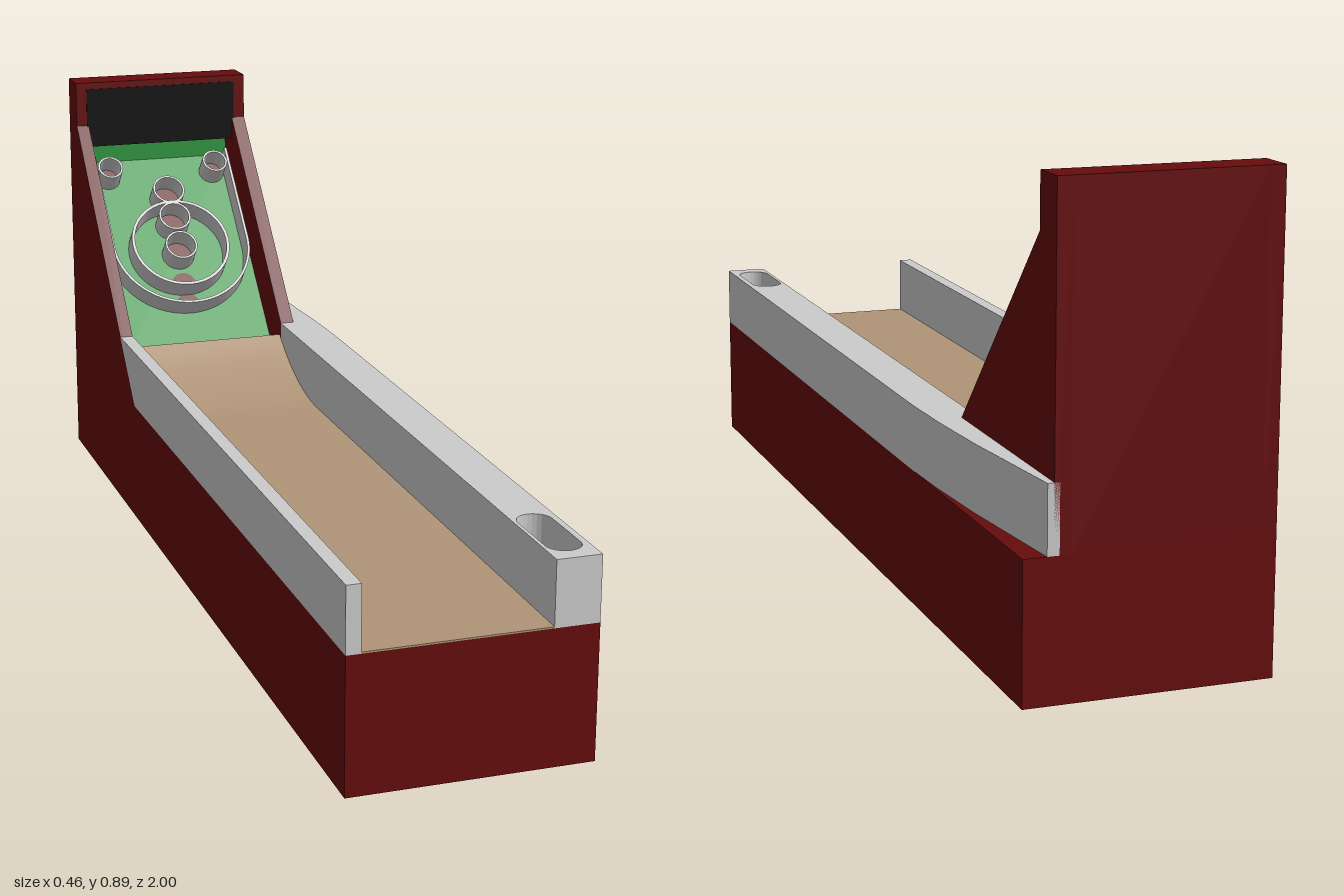
import * as THREE from 'three';
import { toCreasedNormals } from 'three/addons/utils/BufferGeometryUtils.js';

const paint = (name, color) => {
  const m = new THREE.MeshStandardMaterial({ color });
  m.name = name;
  return m;
};

export function createModel() {
  const red = paint('dark red', 0x660c0c);
  const white = paint('pale grey', 0xcccccc);
  const tan = paint('wood tan', 0xb09578);
  const green = paint('board green', 0x2f9641);
  const black = paint('black', 0x0d0d0d);

  const model = new THREE.Group();
  model.name = 'alleyBowler';

  const add = (parent, name, geometry, material) => {
    const mesh = new THREE.Mesh(geometry, material);
    mesh.name = name;
    parent.add(mesh);
    return mesh;
  };
  // Box given by its minimum and maximum corners
  const box = (name, [x0, y0, z0], [x1, y1, z1], material) =>
    add(model, name, new THREE.BoxGeometry(x1 - x0, y1 - y0, z1 - z0), material)
      .position.set((x0 + x1) / 2, (y0 + y1) / 2, (z0 + z1) / 2);
  const extrude = (shape, depth, curveSegments = 24) =>
    new THREE.ExtrudeGeometry(shape, { depth, bevelEnabled: false, curveSegments });
  // Side profile of [z, y] points, extruded from x0 to x1
  const sideProfile = (points, x0, x1) =>
    extrude(new THREE.Shape(points.map(([z, y]) => new THREE.Vector2(-z, y))), x1 - x0)
      .rotateY(Math.PI / 2).translate(x0, 0, 0);

  const floorY = 0.26, railY = 0.385;
  const xLeft = -0.23, xInLeft = -0.202, xInRight = 0.145, xRight = 0.175;

  // Base cabinet
  box('base', [-0.23, 0, -1], [0.23, floorY, 1], red);

  // Lane with a curved jump at the far end
  const lane = [[1, floorY], [1, floorY + 0.003]];
  const radius = 0.468, sweep = Math.asin(0.28 / radius);
  for (let i = 0; i <= 12; i++) {
    const a = sweep * i / 12;
    lane.push([-0.27 - radius * Math.sin(a), floorY + 0.003 + radius * (1 - Math.cos(a))]);
  }
  lane.push([-0.55, floorY]);
  add(model, 'lane', toCreasedNormals(sideProfile(lane, xInLeft, xInRight), 0.5), tan);

  // Narrow rail, cut along the slope of the target cabinet
  add(model, 'narrowRail',
    sideProfile([[1, floorY], [1, railY], [-0.54, railY], [-0.42, floorY]], xLeft, xInLeft), white);

  // Wide ball-return rail with a pill-shaped slot
  const railPlan = [[0.145, 1], [0.23, 1], [0.23, -0.42], [0.226, -0.55], [0.215, -0.72],
    [0.187, -1], [0.165, -1], [0.165, -0.54], [0.145, -0.54]];
  const railShape = new THREE.Shape(railPlan.map(([x, z]) => new THREE.Vector2(x, -z)));
  const slot = new THREE.Path();
  slot.absarc(0.185, -0.815, 0.033, 0, Math.PI, false);
  slot.absarc(0.185, -0.935, 0.033, Math.PI, Math.PI * 2, false);
  railShape.holes.push(slot);
  add(model, 'ballReturnRail',
    extrude(railShape, railY - floorY, 6).rotateX(-Math.PI / 2).translate(0, floorY, 0), white);

  // Target cabinet: two sloped sides, back and top
  const upper = [[-0.925, 0.79], [-0.925, 0.89], [-1, 0.89], [-1, floorY]];
  add(model, 'cabinetSideRight', sideProfile([[-0.42, floorY], ...upper], xLeft, xInLeft), red);
  add(model, 'cabinetSideLeft',
    sideProfile([[-0.54, floorY], [-0.54, railY], ...upper], xInRight, xRight), red);
  box('cabinetBack', [xInLeft, floorY, -1], [xInRight, 0.89, -0.987], red);
  box('cabinetTop', [xInLeft, 0.875, -0.987], [xInRight, 0.89, -0.925], red);
  box('scorePanel', [-0.206, 0.74, -0.931], [0.149, 0.875, -0.923], black);
  box('boardBackstrip', [xInLeft, 0.68, -0.987], [xInRight, 0.8, -0.982], green);

  // Target board, tilted 45 degrees; local origin is the centre of the big ring
  const board = new THREE.Group();
  board.name = 'targetBoard';
  const centreX = -0.028, centreY = 0.502;
  board.position.set(centreX, centreY, -0.795);
  board.rotation.x = -Math.PI / 4;
  model.add(board);
  const up = y => (y - centreY) * Math.SQRT2;
  const wallHeight = 0.05;

  add(board, 'boardSurface', new THREE.BoxGeometry(xInRight - xInLeft, 0.531, 0.006), green)
    .position.set((xInLeft + xInRight) / 2 - centreX, 0.0035, -0.003);

  const ring = (name, x, y, r, thickness) => {
    const shape = new THREE.Shape().absarc(0, 0, r, 0, Math.PI * 2, false);
    shape.holes.push(new THREE.Path().absarc(0, 0, r - thickness, 0, Math.PI * 2, true));
    add(board, name, toCreasedNormals(extrude(shape, wallHeight, 20), 0.6), white)
      .position.set(x, y, 0);
  };
  const hole = (name, x, y, r) =>
    add(board, name, new THREE.CircleGeometry(r, 24), red).position.set(x, y, 0.001);

  ring('bigRing', 0, 0, 0.115, 0.007);

  // Scoring cups: x, height on the board, radius
  const cups = [[0, 0.605, 0.0375], [0, 0.553, 0.0375], [0, 0.497, 0.0375],
    [-0.127, 0.655, 0.0295], [0.127, 0.655, 0.0295]];
  cups.forEach(([x, y, r], i) => {
    ring('cup' + (i + 1), x, up(y), r, 0.005);
    hole('cupHole' + (i + 1), x, up(y), r - 0.005);
  });
  hole('ringHole', 0, up(0.443), 0.028);
  hole('gutterHole', 0, up(0.405), 0.026);

  // U-shaped outer fence
  const outer = 0.163, inner = 0.157, armTop = up(0.68);
  const fence = new THREE.Shape();
  fence.moveTo(-outer, armTop);
  fence.absarc(0, 0, outer, Math.PI, Math.PI * 2, false);
  fence.lineTo(outer, armTop);
  fence.lineTo(inner, armTop);
  fence.absarc(0, 0, inner, Math.PI * 2, Math.PI, true);
  fence.lineTo(-inner, armTop);
  add(board, 'outerFence', toCreasedNormals(extrude(fence, wallHeight, 28), 0.6), white);

  return model;
}
